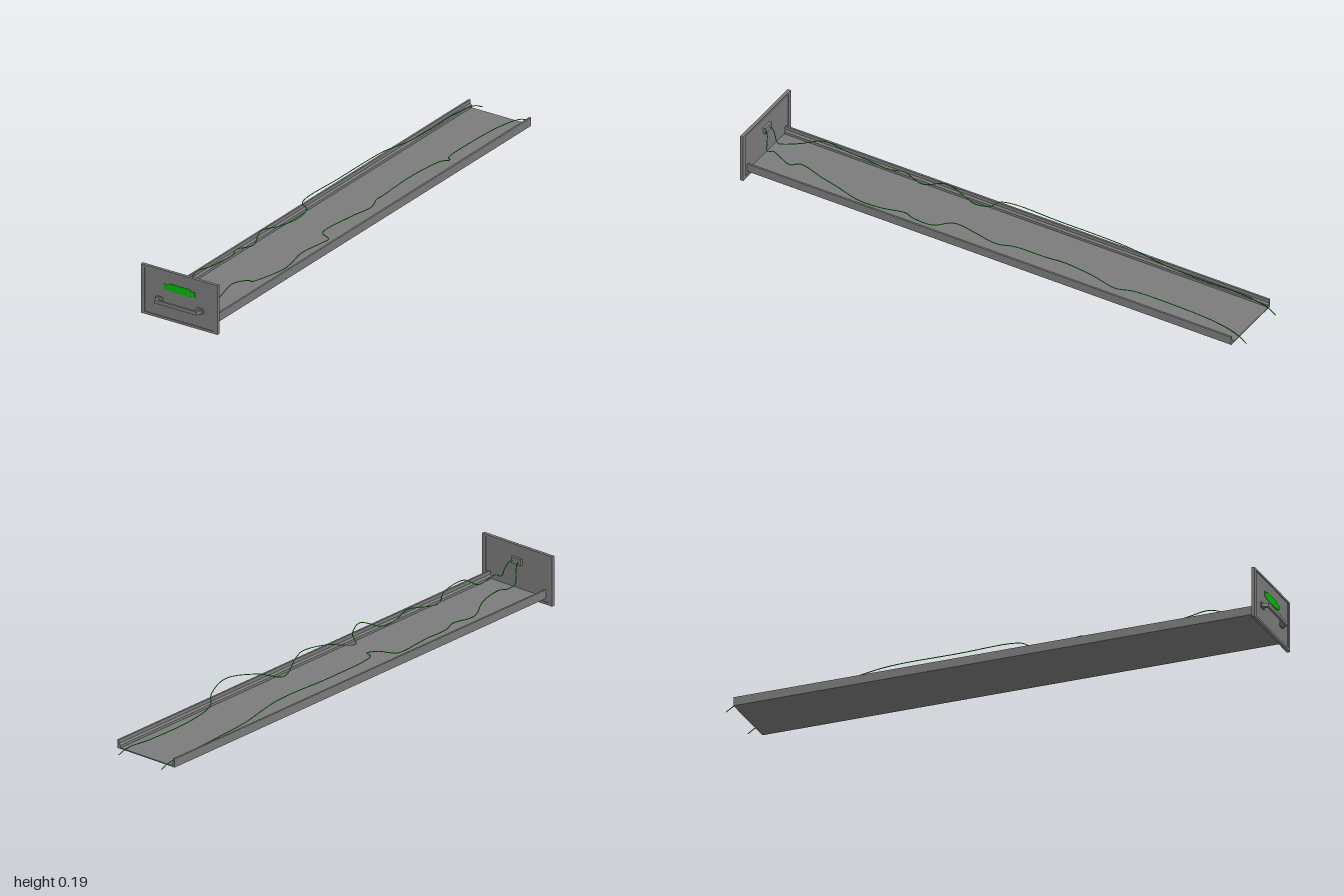
import * as THREE from 'three';

const steel = new THREE.MeshStandardMaterial({ color: 0x7b7b7b });
steel.name = 'steelGrey';
const green = new THREE.MeshStandardMaterial({ color: 0x05b805 });
green.name = 'signalGreen';

function mesh(name, geometry, material, x = 0, y = 0, z = 0) {
  const m = new THREE.Mesh(geometry, material);
  m.name = name;
  m.position.set(x, y, z);
  return m;
}

const box = (name, w, h, d, x, y, z) =>
  mesh(name, new THREE.BoxGeometry(w, h, d), steel, x, y, z);

const polygon = (pts) => new THREE.Shape(pts.map(([x, y]) => new THREE.Vector2(x, y)));

const extrude = (shape, depth) =>
  new THREE.ExtrudeGeometry(shape, { depth, bevelEnabled: false });

// Rectangle with cut corners, centred on the origin
const cutRect = (w, h, c) => polygon([
  [-w + c, -h], [w - c, -h], [w, -h + c], [w, h - c],
  [w - c, h], [-w + c, h], [-w, h - c], [-w, -h + c],
]);

function createTray() {
  // Folded U section: floor with a stepped lip along each side
  const side = [[0.129, 0.022], [0.129, 0.054], [0.122, 0.054], [0.122, 0.041], [0.116, 0.035], [0.116, 0.026]];
  const mirrored = side.map(([x, y]) => [-x, y]).reverse();
  return mesh('tray', extrude(polygon([...side, ...mirrored]), 1.928), steel, 0, 0, -0.961);
}

function createPanel() {
  const panel = new THREE.Group();
  panel.name = 'frontPanel';
  // Outer frame around a slightly recessed sheet
  const frame = polygon([[-0.158, 0], [0.158, 0], [0.158, 0.185], [-0.158, 0.185]]);
  frame.holes.push(new THREE.Path([[-0.143, 0.009], [-0.143, 0.177], [0.143, 0.177], [0.143, 0.009]]
    .map(([x, y]) => new THREE.Vector2(x, y))));
  panel.add(mesh('panelFrame', extrude(frame, 0.012), steel, 0, 0, 0.966));
  panel.add(box('panelSheet', 0.29, 0.172, 0.006, 0, 0.093, 0.972));

  // Stepped light plate
  panel.add(mesh('indicatorLight', extrude(polygon([
    [-0.065, 0.116], [-0.045, 0.116], [-0.045, 0.112], [0.044, 0.112], [0.044, 0.116], [0.063, 0.116],
    [0.063, 0.134], [0.044, 0.134], [0.044, 0.14], [-0.045, 0.14], [-0.045, 0.134], [-0.065, 0.134],
  ]), 0.002), green, 0, -0.001, 0.975));

  // Wire socket on the rear
  panel.add(box('wireSocket', 0.044, 0.024, 0.01, 0, 0.126, 0.964));
  return panel;
}

function createHandle() {
  const handle = new THREE.Group();
  handle.name = 'handle';
  for (const s of [-1, 1]) {
    handle.add(mesh('handlePlate', extrude(cutRect(0.016, 0.011, 0.006), 0.004), steel, s * 0.084, 0.07, 0.975));
  }
  // Bent bar, drawn in plan and extruded upward
  const plan = polygon([
    [-0.094, 0.978], [-0.086, 1], [0.086, 1], [0.094, 0.978],
    [0.083, 0.978], [0.078, 0.992], [-0.078, 0.992], [-0.083, 0.978],
  ]);
  const bar = extrude(plan, 0.013);
  bar.rotateX(Math.PI / 2);
  handle.add(mesh('handleBar', bar, steel, 0, 0.0755, 0));
  return handle;
}

function createWire(name, points) {
  const curve = new THREE.CatmullRomCurve3(points.map((p) => new THREE.Vector3(...p)), false, 'centripetal');
  return mesh(name, new THREE.TubeGeometry(curve, 300, 0.0016, 10, false), green);
}

export function createModel() {
  const model = new THREE.Group();
  model.name = 'drawer';
  model.add(createTray(), createPanel(), createHandle());

  // Loose wires running from the socket to the open end
  model.add(createWire('rightWire', [
    [-0.1, 0.018, -1], [-0.106, 0.035, -0.96], [-0.113, 0.045, -0.85], [-0.108, 0.048, -0.71],
    [-0.106, 0.055, -0.57], [-0.103, 0.08, -0.4], [-0.108, 0.08, -0.13], [-0.108, 0.083, 0.05],
    [-0.095, 0.082, 0.095], [-0.062, 0.078, 0.115], [-0.062, 0.065, 0.175], [-0.098, 0.05, 0.235],
    [-0.113, 0.062, 0.32], [-0.087, 0.048, 0.4], [-0.103, 0.058, 0.48], [-0.087, 0.06, 0.53],
    [-0.098, 0.058, 0.635], [-0.076, 0.082, 0.7], [-0.071, 0.094, 0.78], [-0.045, 0.066, 0.87],
    [-0.02, 0.06, 0.935], [-0.015, 0.09, 0.942], [-0.012, 0.118, 0.95], [-0.01, 0.126, 0.962],
  ]));
  model.add(createWire('leftWire', [
    [0.092, 0.018, -1], [0.084, 0.035, -0.96], [0.066, 0.04, -0.87], [0.06, 0.045, -0.66],
    [0.077, 0.056, -0.54], [0.115, 0.074, -0.49], [0.124, 0.1, -0.41], [0.092, 0.085, -0.28],
    [0.06, 0.052, -0.175], [0.092, 0.078, -0.08], [0.113, 0.08, -0.015], [0.092, 0.076, 0.08],
    [0.056, 0.053, 0.19], [0.113, 0.062, 0.24], [0.13, 0.076, 0.3], [0.09, 0.053, 0.365],
    [0.1, 0.046, 0.45], [0.113, 0.055, 0.53], [0.077, 0.05, 0.645], [0.09, 0.075, 0.69],
    [0.08, 0.092, 0.78], [0.065, 0.06, 0.84], [0.05, 0.078, 0.91], [0.046, 0.065, 0.938],
    [0.038, 0.09, 0.943], [0.025, 0.118, 0.95], [0.014, 0.126, 0.962],
  ]));
  return model;
}
